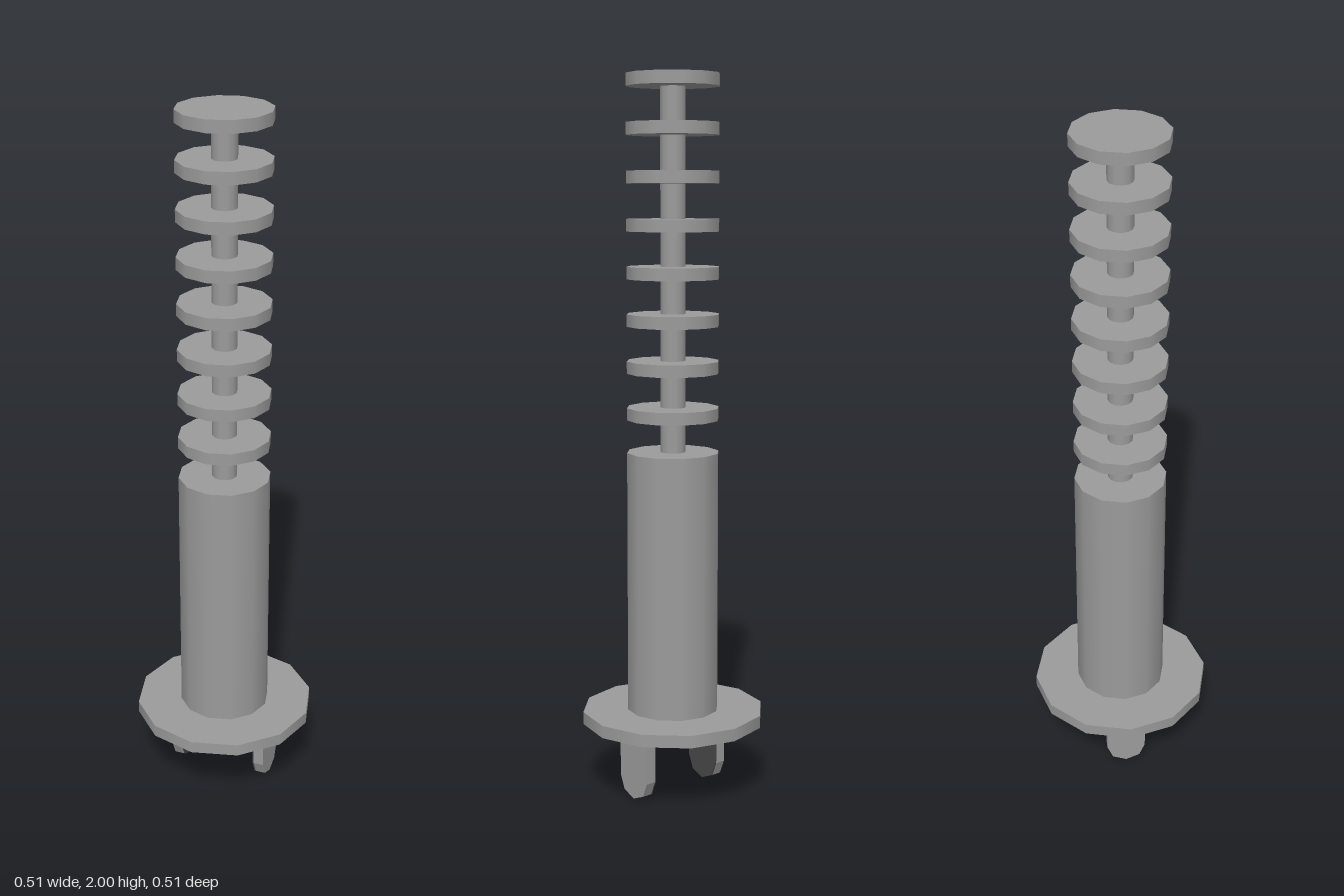
import * as THREE from 'three';

export function createModel() {
  const model = new THREE.Group();
  const makeMaterial = (name, color) => {
    const material = new THREE.MeshStandardMaterial({ color });
    material.name = name;
    return material;
  };
  const grey = makeMaterial('plain grey', 0x9b9b9b);
  const dark = makeMaterial('dark grey', 0x484848);

  const add = (name, geometry, material, x = 0, y = 0) => {
    const mesh = new THREE.Mesh(geometry, material);
    mesh.name = name;
    mesh.position.set(x, y, 0);
    model.add(mesh);
  };
  // Twelve-sided smooth cylinder between two heights
  const cylinder = (name, radius, bottom, top) =>
    add(name, new THREE.CylinderGeometry(radius, radius, top - bottom, 12), grey, 0, (bottom + top) / 2);

  const flangeBottom = 0.202, flangeTop = 0.237, bodyTop = 0.972;
  cylinder('flange', 0.257, flangeBottom, flangeTop);
  cylinder('body', 0.129, flangeTop, bodyTop);

  // Stack of discs on the thin rod, with a rod section below each disc
  const pitch = 0.129, thickness = 0.034;
  let rodBottom = bodyTop;
  for (let i = 7; i >= 0; i--) {
    const top = 2 - i * pitch;
    cylinder('rod', 0.035, rodBottom, top - thickness);
    cylinder('disc', 0.129, top - thickness, top);
    rodBottom = top;
  }

  // Clevis under the flange: bridge and two round-ended legs, lined in dark grey
  const halfDepth = 0.057, outer = 0.146, inner = 0.112, lining = 0.004;
  const bridgeBottom = 0.168;
  const bridgeHeight = flangeBottom - bridgeBottom - lining;
  add('clevisBridge', new THREE.BoxGeometry(2 * inner, bridgeHeight, 2 * halfDepth), grey,
    0, flangeBottom - bridgeHeight / 2);
  add('bridgeLining', new THREE.BoxGeometry(2 * inner, lining, 2 * halfDepth), dark,
    0, bridgeBottom + lining / 2);

  const outline = new THREE.Shape();
  outline.moveTo(halfDepth, flangeBottom);
  outline.lineTo(-halfDepth, flangeBottom);
  for (let i = 0; i <= 4; i++) {
    const a = Math.PI + (i * Math.PI) / 4;
    outline.lineTo(halfDepth * Math.cos(a), halfDepth + halfDepth * Math.sin(a));
  }
  // Leg-shaped plate, centred on its thickness along x
  const legPlate = (depth) =>
    new THREE.ExtrudeGeometry(outline, { depth, bevelEnabled: false })
      .translate(0, 0, -depth / 2)
      .rotateY(Math.PI / 2);
  const legGeometry = legPlate(outer - inner - lining);
  const liningGeometry = legPlate(lining);
  for (const [side, sign] of [['left', 1], ['right', -1]]) {
    add(side + 'Leg', legGeometry, grey, (sign * (outer + inner + lining)) / 2);
    add(side + 'LegLining', liningGeometry, dark, sign * (inner + lining / 2));
  }

  return model;
}
